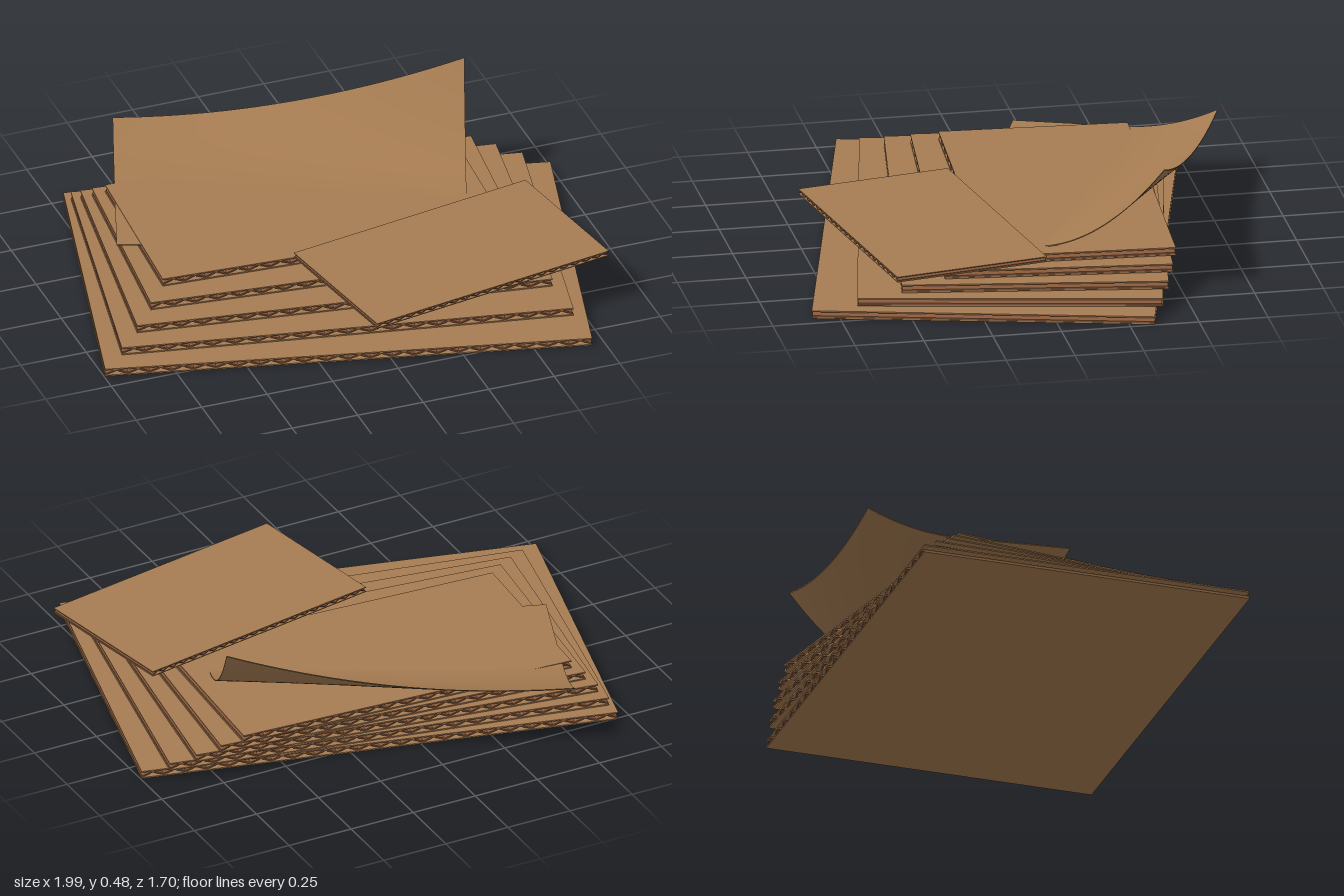
import * as THREE from 'three';

const liner = new THREE.MeshStandardMaterial({ color: 0xa67c52 });
liner.name = 'cardboard';
const fluteMat = new THREE.MeshStandardMaterial({ color: 0x8a5a3c });
fluteMat.name = 'dark cardboard';

// Zigzag band running along x, extruded along z
function fluteGeometry(w, d, h, period) {
  const n = Math.round(w / period) * 2;
  const band = h * 0.3;
  const pt = (i, lift) =>
    new THREE.Vector2(-w / 2 + (w * i) / n, (i % 2 ? h - band : 0) + lift);
  const points = [];
  for (let i = 0; i <= n; i++) points.push(pt(i, 0));
  for (let i = n; i >= 0; i--) points.push(pt(i, band));
  const geo = new THREE.ExtrudeGeometry(new THREE.Shape(points), { depth: d, bevelEnabled: false });
  return geo.translate(0, 0, -d / 2);
}

// Two flat liners with the flute between them
function corrugatedSheet(name, w, d, h, period, skin) {
  const sheet = new THREE.Group();
  sheet.name = name;
  for (const [part, y] of [['bottomLiner', skin / 2], ['topLiner', h - skin / 2]]) {
    const face = new THREE.Mesh(new THREE.BoxGeometry(w, skin, d), liner);
    face.name = part;
    face.position.y = y;
    sheet.add(face);
  }
  const flute = new THREE.Mesh(
    fluteGeometry(w - 0.004, d - 0.004, h - 2 * skin, period), fluteMat);
  flute.name = 'flute';
  flute.position.y = skin;
  sheet.add(flute);
  return sheet;
}

// Loose paper sheet, curled up along its back edge and most at the right corner
function curledSheet() {
  const w = 1.254, d = 0.739;
  const geo = new THREE.BoxGeometry(w, 0.004, d, 48, 1, 36);
  const p = geo.attributes.position;
  for (let i = 0; i < p.count; i++) {
    const s = p.getX(i) / w + 0.5;
    const t = p.getZ(i) / d + 0.5;
    const rise = 0.083 + 0.235 * s * s;
    const curl = Math.max(0, 1 - t / (0.45 + 0.2 * s));
    p.setY(i, p.getY(i) + rise * curl * curl);
  }
  geo.computeVertexNormals();
  const mesh = new THREE.Mesh(geo, liner);
  mesh.name = 'curledSheet';
  return mesh;
}

export function createModel() {
  const model = new THREE.Group();
  model.name = 'cardboardStack';
  const place = (part, x, y, z, degrees) => {
    part.position.set(x, y, z);
    part.rotation.y = THREE.MathUtils.degToRad(degrees);
    model.add(part);
  };

  // Stack of five sheets, each smaller and turned a little further
  for (let i = 0; i < 5; i++) {
    const sheet = corrugatedSheet(
      'stackedSheet' + (i + 1), 1.75 - 0.117 * i, 1.225 - 0.136 * i, 0.03, 0.08, 0.005);
    place(sheet, 0, 0.0325 * i, 0.045 - 0.056 * i, -13.9 + 2.64 * i);
  }

  // Peeling sheet and small top board
  place(curledSheet(), -0.0125, 0.1555, -0.295, -19.8);
  place(corrugatedSheet('smallTopSheet', 0.966, 0.572, 0.02, 0.045, 0.003),
    0.345, 0.18, 0.377, 10.4);

  return model;
}
